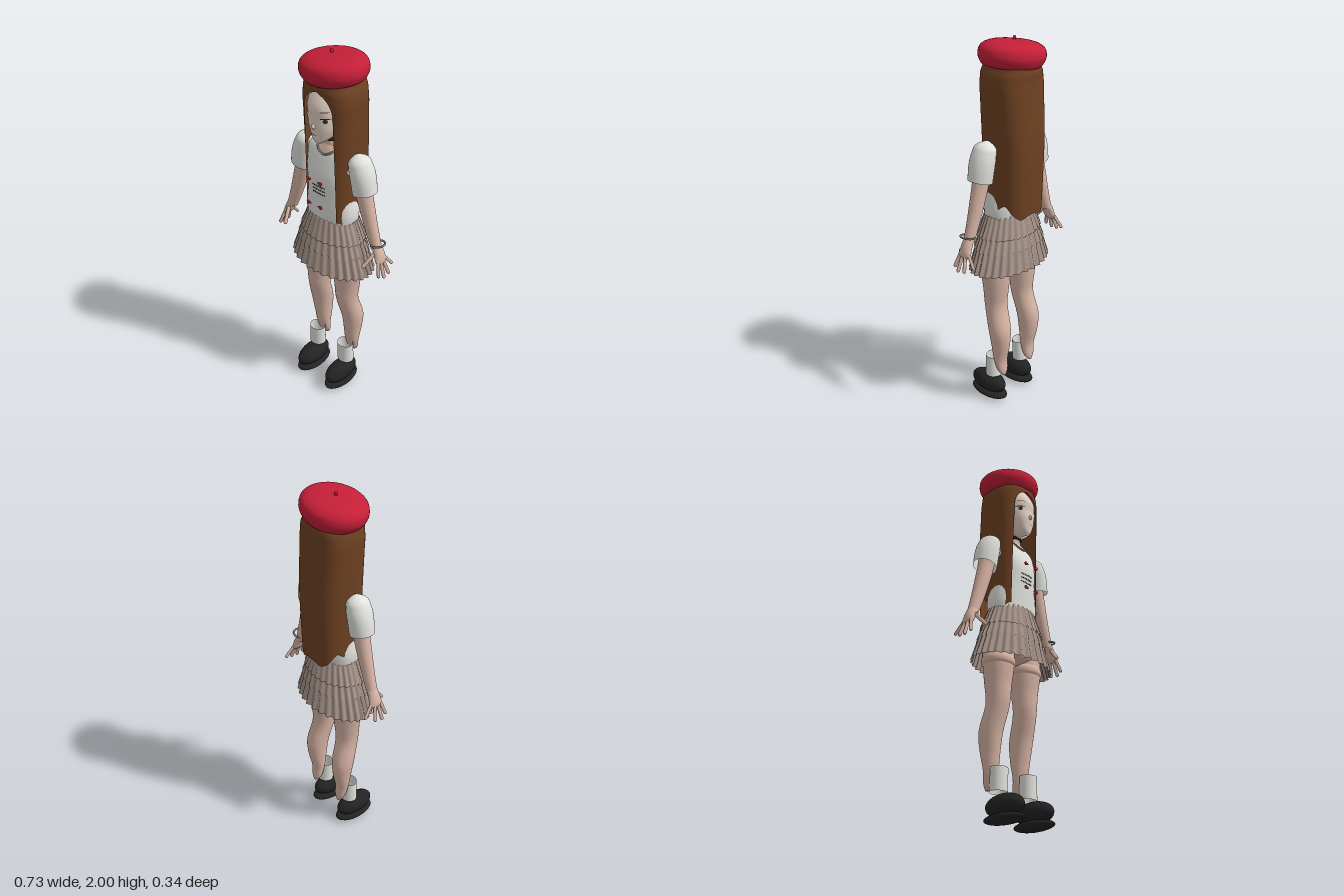
import * as THREE from 'three';
import { mergeVertices } from 'three/addons/utils/BufferGeometryUtils.js';

const mat = (name, color, side = THREE.DoubleSide) =>
  Object.assign(new THREE.MeshStandardMaterial({ color, side }), { name });

export function createModel() {
  const skin = mat('skin', 0xd9b5a6), faceSkin = mat('face skin', 0xeedccf);
  const cloth = mat('white cloth', 0xe2e2de), skirtCloth = mat('skirt cloth', 0xa8958b);
  const hairBrown = mat('hair brown', 0x6e4122), red = mat('red', 0xc41f38);
  const black = mat('black', 0x232323), grey = mat('grey', 0x85858a);
  const model = new THREE.Group();
  model.name = 'girlWithBeret';

  const add = (parent, name, geometry, material, x = 0, y = 0, z = 0) => {
    const m = new THREE.Mesh(geometry, material);
    m.name = name;
    m.position.set(x, y, z);
    parent.add(m);
    return m;
  };

  // Grid surface from a rule (u, v) -> [x, y, z], welded for smooth normals
  const surface = (nu, nv, rule) => {
    const pos = [], index = [];
    for (let j = 0; j <= nv; j++) for (let i = 0; i <= nu; i++) pos.push(...rule(i / nu, j / nv));
    for (let j = 0; j < nv; j++) for (let i = 0; i < nu; i++) {
      const a = j * (nu + 1) + i, b = a + 1, c = a + nu + 1, d = c + 1;
      index.push(a, b, d, a, d, c);
    }
    let g = new THREE.BufferGeometry();
    g.setAttribute('position', new THREE.Float32BufferAttribute(pos, 3));
    g.setIndex(index);
    g = mergeVertices(g, 1e-5);
    g.computeVertexNormals();
    return g;
  };

  // Cross-sections [y, centreX, centreZ, radiusX, radiusZ], listed from bottom to top
  const sections = rows => {
    const curve = new THREE.CubicInterpolant(rows.map(r => r[0]), rows.flatMap(r => r.slice(1)), 4, new Float32Array(4));
    return y => Array.from(curve.evaluate(y));
  };
  const pw = (s, n) => Math.sign(s) * Math.abs(s) ** (2 / n);
  const loft = (rows, { n = 2, slope = 0, sides = 32, steps = 4 } = {}) => {
    const at = sections(rows), count = rows.length - 1;
    return surface(sides, count * steps, (u, v) => {
      const k = Math.min(Math.floor(v * count + 1e-6), count - 1), f = v * count - k;
      const y = rows[k][0] + (rows[k + 1][0] - rows[k][0]) * f;
      const [cx, cz, rx, rz] = at(y), t = (u % 1) * Math.PI * 2;
      const dx = Math.max(rx, 0.001) * pw(Math.sin(t), n);
      return [cx + dx, y + slope * dx, cz + Math.max(rz, 0.001) * pw(Math.cos(t), n)];
    });
  };
  // Front depth of a lofted body at (x, y), and thin patches lying on it
  const frontZ = (at, n) => (x, y) => {
    const [cx, cz, rx, rz] = at(y);
    return cz + rz * Math.max(0, 1 - Math.abs((x - cx) / rx) ** n) ** (1 / n);
  };
  const patch = (depth, cx, cy, rx, ry, lift = 0.004) => surface(20, 4, (u, v) => {
    const t = (u % 1) * Math.PI * 2, x = cx + rx * (1 - v) * Math.cos(t), y = cy + ry * (1 - v) * Math.sin(t);
    return [x, y, depth(x, y) + lift];
  });
  const ball = (parent, name, material, x, y, z, rx, ry, rz) => {
    const m = add(parent, name, new THREE.SphereGeometry(1, 28, 18), material, x, y, z);
    m.scale.set(rx, ry, rz);
    return m;
  };

  // Head and face
  const head = new THREE.Group();
  head.name = 'head';
  model.add(head);
  const headRows = [[1.56, 0, 0.085, 0.008, 0.025], [1.58, 0, 0.07, 0.034, 0.052], [1.615, 0, 0.048, 0.06, 0.08],
    [1.66, 0, 0.025, 0.08, 0.109], [1.71, 0, 0.01, 0.09, 0.123], [1.76, 0, 0, 0.091, 0.137],
    [1.82, 0, -0.01, 0.087, 0.12], [1.87, 0, -0.02, 0.06, 0.085], [1.9, 0, -0.02, 0.004, 0.004]];
  add(head, 'face', loft(headRows, { n: 2.4 }), faceSkin);
  const faceZ = frontZ(sections(headRows), 2.4);
  ball(head, 'nose', faceSkin, 0, 1.665, 0.132, 0.009, 0.014, 0.014);
  add(head, 'mouth', patch(faceZ, 0, 1.622, 0.016, 0.003), skin);
  for (const s of [-1, 1]) {
    add(head, 'eyeWhite', patch(faceZ, s * 0.058, 1.705, 0.017, 0.013, 0.003), cloth);
    add(head, 'iris', patch(faceZ, s * 0.058, 1.705, 0.009, 0.012, 0.005), hairBrown);
    add(head, 'pupil', patch(faceZ, s * 0.058, 1.705, 0.005, 0.007, 0.007), black);
    add(head, 'upperLash', patch(faceZ, s * 0.059, 1.718, 0.02, 0.003, 0.007), black);
    add(head, 'eyebrow', patch(faceZ, s * 0.056, 1.752, 0.018, 0.002), hairBrown);
  }

  // Long hair, open over the face and chest, raised at the hips
  const hairAt = sections([[1.1, 0, -0.022, 0.133, 0.133], [1.3, 0, -0.026, 0.136, 0.136], [1.5, 0, -0.027, 0.14, 0.138],
    [1.7, 0, -0.02, 0.147, 0.132], [1.8, 0, -0.016, 0.146, 0.13], [1.86, 0, -0.016, 0.128, 0.125],
    [1.9, 0, -0.016, 0.09, 0.09], [1.915, 0, -0.016, 0.004, 0.004]]);
  const gap = y => y > 1.83 ? 0 : y > 1.73 ? 0.088 * Math.sqrt(1 - ((y - 1.73) / 0.1) ** 2) : 0.088 + (1.73 - y) * 0.018;
  add(head, 'longHair', surface(72, 70, (u, v) => {
    const around = u * Math.PI * 2, side = Math.abs(Math.sin(around));
    const bottom = 1.125 + 0.008 * Math.cos(6 * around) + 0.075 * side ** 14;
    const y = bottom + (1.915 - bottom) * v;
    const [cx, cz, rx, rz] = hairAt(y), n = 2.8;
    const t0 = Math.asin(Math.min(1, gap(y) / rx) ** (n / 2)), t = t0 + u * (Math.PI * 2 - 2 * t0);
    return [cx + rx * pw(Math.sin(t), n), y, cz + rz * pw(Math.cos(t), n)];
  }), hairBrown);

  // Tilted beret with stem
  const beret = new THREE.Group();
  beret.name = 'beret';
  beret.position.set(-0.007, 1.913, -0.013);
  beret.rotation.z = 0.12;
  model.add(beret);
  const beretCurve = new THREE.SplineCurve([[0.1, -0.048], [0.145, -0.052], [0.168, -0.025], [0.175, 0.003], [0.165, 0.036],
    [0.13, 0.057], [0.07, 0.067], [0, 0.07]].map(p => new THREE.Vector2(...p)));
  const crown = add(beret, 'beretCrown', new THREE.LatheGeometry(beretCurve.getPoints(32), 48), red);
  crown.scale.z = 0.88;
  add(beret, 'beretStem', new THREE.CapsuleGeometry(0.008, 0.02, 4, 10), red, -0.006, 0.07, 0);

  // Neck, choker, blouse and its details
  add(model, 'neck', loft([[1.47, 0, 0, 0.07, 0.055], [1.53, 0, 0.005, 0.052, 0.045], [1.56, 0, 0.012, 0.039, 0.038], [1.64, 0, 0.015, 0.038, 0.038]]), skin);
  const choker = add(model, 'choker', new THREE.TorusGeometry(0.041, 0.006, 8, 32), black, 0, 1.567, 0.012);
  choker.rotation.x = Math.PI / 2;
  choker.scale.z = 1.6;
  const torsoRows = [[1.08, 0, 0, 0.138, 0.095], [1.16, 0, 0, 0.147, 0.098], [1.27, 0, 0.003, 0.13, 0.1],
    [1.37, 0, 0.003, 0.132, 0.104], [1.45, 0, 0, 0.142, 0.085], [1.5, 0, 0, 0.13, 0.065], [1.535, 0, 0, 0.05, 0.045]];
  add(model, 'blouse', loft(torsoRows, { n: 2.3 }), cloth);
  const torsoZ = frontZ(sections(torsoRows), 2.3);
  add(model, 'openNeckline', patch(torsoZ, 0, 1.513, 0.058, 0.025), skin);
  const collarPoints = [-1, -0.75, -0.4, 0, 0.4, 0.75, 1].map(k => {
    const x = k * 0.062, y = 1.49 + 0.036 * k * k;
    return new THREE.Vector3(x, y, torsoZ(x, y) + 0.004);
  });
  add(model, 'collarTrim', new THREE.TubeGeometry(new THREE.CatmullRomCurve3(collarPoints), 30, 0.005, 8), grey);
  for (const y of [1.365, 1.225]) for (const s of [-1, 1]) {
    ball(model, 'bowButton', red, s * 0.037, y, 0.136, 0.016, 0.007, 0.005);
    ball(model, 'bowKnot', red, s * 0.042, y, 0.137, 0.008, 0.011, 0.006);
  }
  for (const y of [1.32, 1.298, 1.276]) for (let i = -3; i <= 3; i++)
    ball(model, 'chestStud', black, i * 0.012, y, torsoZ(i * 0.012, y) + 0.002, 0.003, 0.003, 0.003);

  // Pleated skirt in three overlapping tiers
  const pleats = 30;
  [[0.82, 0.945, 0], [0.935, 1.015, 0.005], [1.005, 1.13, 0.009]].forEach(([low, high, out], i) => {
    add(model, 'skirtTier' + (i + 1), surface(pleats * 6, 4, (u, v) => {
      const y = low + (high - low) * v, k = (1.13 - y) / 0.31, t = (u % 1) * Math.PI * 2;
      const fold = Math.asin(Math.sin(u * pleats * Math.PI * 2)) / (Math.PI / 2);
      const r = fold * (0.004 + 0.006 * k) + out * (1 - v);
      return [(0.137 + 0.108 * k + r) * Math.sin(t), y, (0.1 + 0.056 * k + r) * Math.cos(t)];
    }), skirtCloth);
  });
  add(model, 'hips', loft([[0.83, 0, 0, 0.02, 0.03], [0.87, 0, 0, 0.15, 0.085], [1.0, 0, 0, 0.155, 0.09], [1.1, 0, 0, 0.13, 0.085]]), skin);

  // Arms, built on +x and mirrored
  const finger = (parent, name, a, b, r) => {
    const from = new THREE.Vector3(...a), dir = new THREE.Vector3(...b).sub(from);
    const m = add(parent, name, new THREE.CapsuleGeometry(r, dir.length() - r, 4, 10), skin);
    m.position.copy(from).addScaledVector(dir, 0.5);
    m.quaternion.setFromUnitVectors(new THREE.Vector3(0, 1, 0), dir.normalize());
  };
  for (const s of [1, -1]) {
    const arm = new THREE.Group();
    arm.name = s > 0 ? 'leftArm' : 'rightArm';
    arm.scale.x = s;
    model.add(arm);
    add(arm, 'sleeve', loft([[1.325, 0.207, 0, 0.062, 0.06], [1.4, 0.195, 0, 0.061, 0.065], [1.46, 0.178, 0, 0.056, 0.062],
      [1.5, 0.163, 0, 0.042, 0.047], [1.522, 0.153, 0, 0.004, 0.004]], { slope: 0.25 }), cloth);
    add(arm, 'forearm', loft([[1.03, 0.291, 0, 0.028, 0.027], [1.12, 0.26, 0, 0.034, 0.031], [1.22, 0.23, 0, 0.039, 0.036],
      [1.32, 0.203, 0, 0.043, 0.04], [1.42, 0.185, 0, 0.045, 0.045]], { slope: 0.2 }), skin);
    add(arm, 'palm', loft([[0.95, 0.328, 0, 0.006, 0.02], [0.965, 0.323, 0, 0.016, 0.035], [1.0, 0.312, 0, 0.023, 0.033],
      [1.05, 0.287, 0, 0.027, 0.026]]), skin);
    finger(arm, 'thumb', [0.3, 1.015, 0.02], [0.273, 0.945, 0.08], 0.01);
    finger(arm, 'indexFinger', [0.325, 0.975, 0.025], [0.348, 0.9, 0.045], 0.009);
    finger(arm, 'middleFinger', [0.328, 0.97, 0.008], [0.358, 0.885, 0.014], 0.009);
    finger(arm, 'ringFinger', [0.328, 0.97, -0.01], [0.354, 0.89, -0.026], 0.009);
    finger(arm, 'littleFinger', [0.322, 0.98, -0.025], [0.334, 0.915, -0.075], 0.008);
  }
  const bracelet = add(model, 'bracelet', new THREE.TorusGeometry(0.036, 0.005, 8, 28), grey, 0.3, 1.06, 0);
  bracelet.rotation.set(Math.PI / 2, 0.2, 0);

  // Legs, socks and shoes, built on +x and mirrored
  for (const s of [1, -1]) {
    const leg = new THREE.Group();
    leg.name = s > 0 ? 'leftLeg' : 'rightLeg';
    leg.scale.x = s;
    model.add(leg);
    add(leg, 'bareLeg', loft([[0.175, 0.105, -0.06, 0.01, 0.008], [0.2, 0.105, -0.052, 0.028, 0.02], [0.27, 0.107, -0.038, 0.041, 0.032],
      [0.36, 0.11, -0.04, 0.049, 0.05], [0.46, 0.112, -0.035, 0.058, 0.061], [0.6, 0.101, 0, 0.06, 0.06],
      [0.7, 0.1, 0, 0.069, 0.067], [0.8, 0.1, 0.002, 0.082, 0.077], [0.9, 0.1, 0, 0.085, 0.08]]), skin);
    add(leg, 'thighBand', loft([[0.795, 0.1, 0.002, 0.082, 0.077], [0.805, 0.1, 0.002, 0.089, 0.084], [0.83, 0.1, 0.002, 0.09, 0.084],
      [0.845, 0.1, 0.002, 0.082, 0.077]]), skin);
    add(leg, 'sock', loft([[0.155, 0.107, 0.013, 0.047, 0.043], [0.275, 0.105, 0.016, 0.046, 0.04]]), cloth);
    ball(leg, 'shoe', black, 0.106, 0.087, 0.053, 0.057, 0.058, 0.113);
    ball(leg, 'shoeSole', black, 0.106, 0.028, 0.05, 0.062, 0.026, 0.119);
  }
  return model;
}
